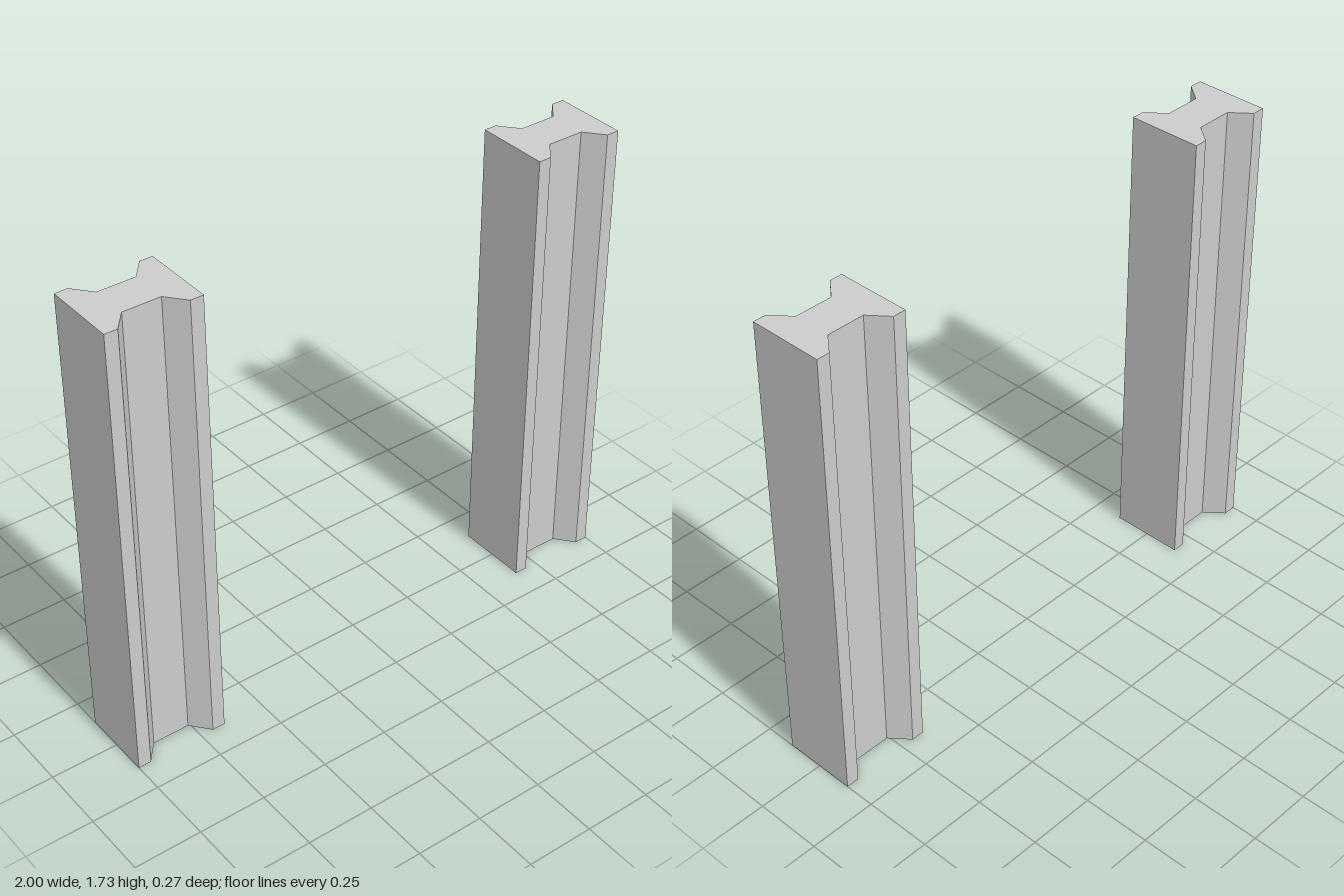
import * as THREE from 'three';

const HEIGHT = 1.725;
const CENTRE_X = 0.8275;

// One quarter of the I-beam section: flange edge, flange lip, web corner
const QUARTER = [[0.1725, 0.137], [0.125, 0.137], [0.069, 0.069]];

function beamShape() {
  const mirror = (pts, sx, sy) => pts.map(([x, y]) => new THREE.Vector2(x * sx, y * sy));
  const reversed = [...QUARTER].reverse();
  return new THREE.Shape([
    ...mirror(QUARTER, 1, 1),
    ...mirror(reversed, -1, 1),
    ...mirror(QUARTER, -1, -1),
    ...mirror(reversed, 1, -1),
  ]);
}

export function createModel() {
  const group = new THREE.Group();
  group.name = 'beamPosts';
  const material = new THREE.MeshStandardMaterial({ color: 0xcccccc, flatShading: true });

  // Upright beam extruded along y
  const geometry = new THREE.ExtrudeGeometry(beamShape(), { depth: HEIGHT, bevelEnabled: false });
  geometry.rotateX(-Math.PI / 2);

  // Matching pair of posts
  for (const [name, side] of [['leftPost', 1], ['rightPost', -1]]) {
    const post = new THREE.Mesh(geometry, material);
    post.name = name;
    post.position.x = side * CENTRE_X;
    group.add(post);
  }
  return group;
}
